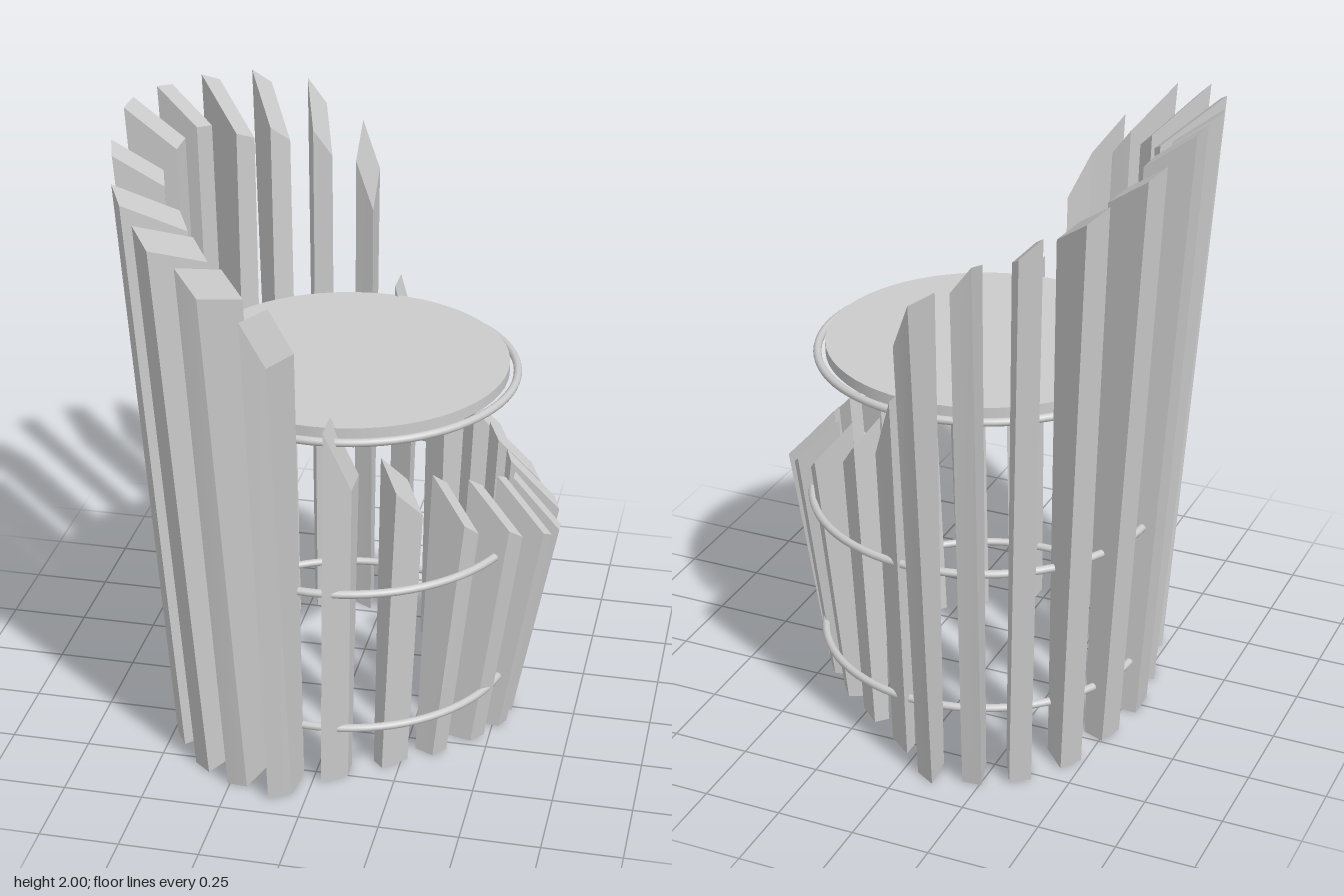
import * as THREE from 'three';

const material = new THREE.MeshStandardMaterial({ color: 0xcccccc });

// Slats on one side, from the tall back (-x) round to the low end (+x), as plan points [x, z]:
// foot: inner edge at the floor, inner and outer: edges at the top,
// across: vector over the slat's width, cut: peak height and slope of the sloping top along x
const slats = [
  { foot: [-0.47, 0], inner: [-0.523, 0], outer: [-0.684, 0], across: [0, 0.1], cut: [2.0, -0.75] },
  { foot: [-0.452, 0.175], inner: [-0.512, 0.23], outer: [-0.653, 0.286], across: [0.026, 0.082], cut: [1.97, -0.75] },
  { foot: [-0.39, 0.322], inner: [-0.416, 0.367], outer: [-0.57, 0.53], across: [0.042, 0.067], cut: [1.93, -0.85] },
  { foot: [-0.3, 0.44], inner: [-0.333, 0.493], outer: [-0.447, 0.715], across: [0.054, 0.045], cut: [1.89, -1.0] },
  { foot: [-0.19, 0.505], inner: [-0.215, 0.59], outer: [-0.286, 0.825], across: [0.063, 0.005], cut: [1.83, -1.35] },
  { foot: [-0.068, 0.538], inner: [-0.075, 0.587], outer: [-0.1, 0.82], across: [0.066, -0.04], cut: [1.69, -2.3] },
  { foot: [0.065, 0.47], inner: [0.085, 0.465], outer: [0.085, 0.57], across: [0.075, -0.055], cut: [1.25, -2.8] },
  { foot: [0.2, 0.37], inner: [0.215, 0.36], outer: [0.275, 0.423], across: [0.07, -0.063], cut: [1.08, -1.4] },
  { foot: [0.3, 0.283], inner: [0.34, 0.276], outer: [0.45, 0.328], across: [0.037, -0.045], cut: [0.99, -1.25] },
  { foot: [0.39, 0.185], inner: [0.435, 0.18], outer: [0.57, 0.213], across: [0.036, -0.045], cut: [0.935, -1.1] },
  { foot: [0.445, 0.088], inner: [0.5, 0.075], outer: [0.655, 0.105], across: [0.02, -0.04], cut: [0.9, -1.1] },
  { foot: [0.465, 0], inner: [0.53, 0], outer: [0.68, 0], across: [0, -0.04], cut: [0.86, -1.13] },
];

// Reshape a box into one leaning slat; side = -1 mirrors it in z
function slatGeometry({ foot, inner, outer, across, cut }, side) {
  const geo = new THREE.BoxGeometry(1, 1, 1);
  const p = geo.attributes.position;
  const footDepth = foot[0] < 0 ? 0.5 : 0.55; // depth at the floor relative to the top
  const peakX = Math.min(inner[0], outer[0]) - across[0] / 2;
  for (let i = 0; i < p.count; i++) {
    const u = p.getX(i) * side;
    const top = p.getY(i) > 0;
    const t = p.getZ(i) + 0.5;
    const start = top ? inner : foot;
    const depth = top ? t : t * footDepth;
    const [x, z] = [0, 1].map(k => start[k] + depth * (outer[k] - inner[k]) + u * across[k]);
    p.setXYZ(i, x, top ? cut[0] + cut[1] * (x - peakX) : 0, z * side);
  }
  geo.computeVertexNormals();
  return geo;
}

export function createModel() {
  const model = new THREE.Group();
  const add = (name, geo, y = 0) => {
    const mesh = new THREE.Mesh(geo, material);
    mesh.name = name;
    mesh.position.y = y;
    model.add(mesh);
    return mesh;
  };

  // Ring of upright slats, mirrored in z apart from the two on the axis
  slats.forEach((slat, i) => {
    const name = slat.foot[0] < 0 ? 'backSlat' : 'frontSlat';
    add(`${name}${i}`, slatGeometry(slat, 1));
    if (slat.foot[1] > 0) add(`${name}${i}Mirrored`, slatGeometry(slat, -1));
  });

  // Round seat
  add('seat', new THREE.CylinderGeometry(0.5, 0.5, 0.035, 64), 1.2);

  // Hoops: under the seat, middle and lower
  for (const [name, radius, y] of [['seatHoop', 0.525, 1.183], ['middleHoop', 0.555, 0.685], ['lowerHoop', 0.525, 0.187]]) {
    add(name, new THREE.TorusGeometry(radius, 0.013, 10, 80).rotateX(Math.PI / 2), y);
  }
  return model;
}
